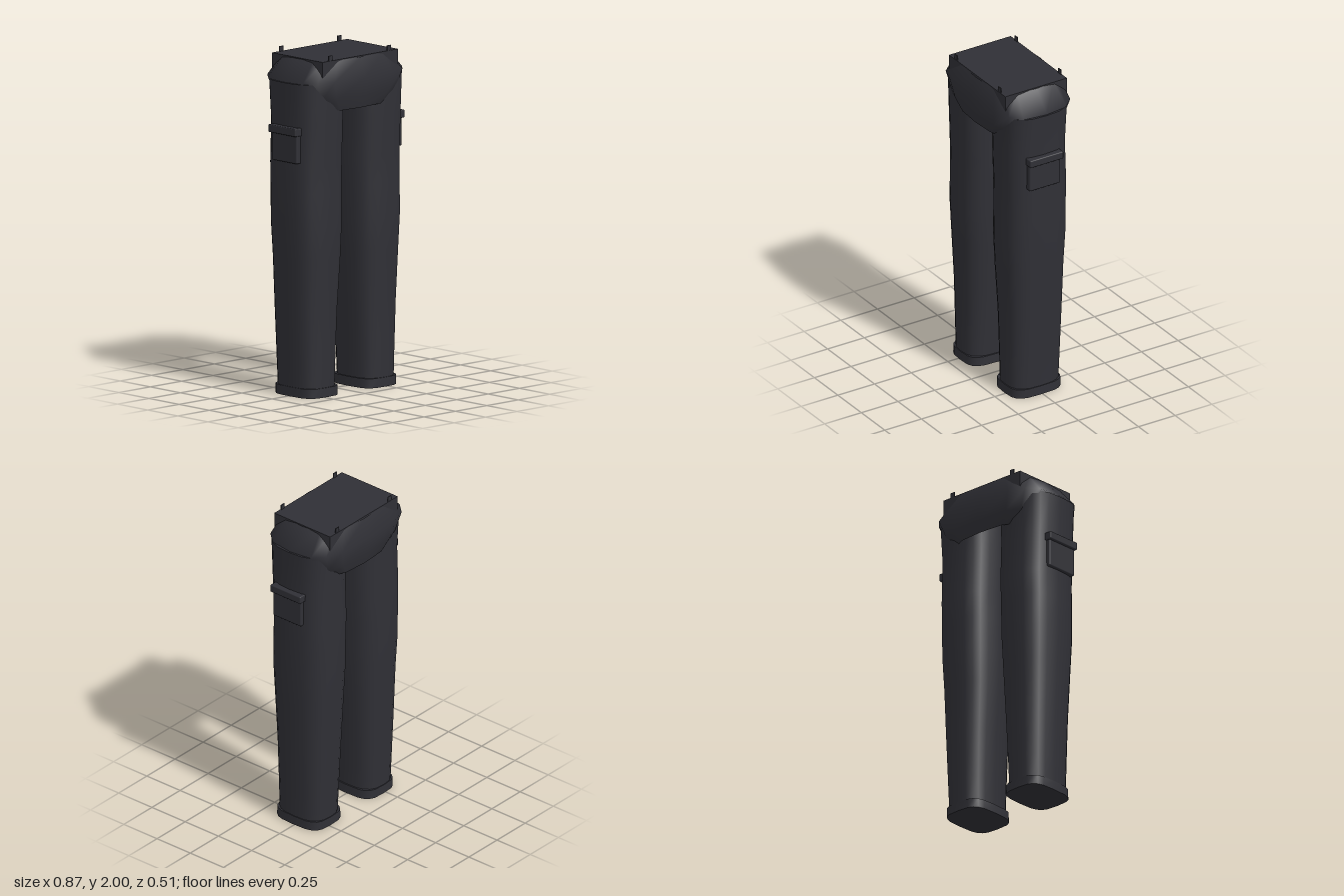
import * as THREE from 'three';
import { RoundedBoxGeometry } from 'three/addons/geometries/RoundedBoxGeometry.js';

// Skin over rounded-square rings listed bottom to top: [y, xMin, xMax, zMin, zMax]
function loft(rings, sides, power, capBottom, capTop) {
  const pos = [], index = [];
  const addRing = ([y, x0, x1, z0, z1]) => {
    for (let i = 0; i < sides; i++) {
      const a = (i / sides) * Math.PI * 2, c = Math.cos(a), s = Math.sin(a);
      const round = (v) => Math.sign(v) * Math.abs(v) ** (2 / power);
      pos.push((x0 + x1) / 2 + (x1 - x0) / 2 * round(c), y, (z0 + z1) / 2 + (z1 - z0) / 2 * round(s));
    }
  };
  rings.forEach(addRing);
  for (let r = 0; r < rings.length - 1; r++) {
    for (let i = 0; i < sides; i++) {
      const a = r * sides + i, b = r * sides + (i + 1) % sides;
      index.push(a, a + sides, b, b, a + sides, b + sides);
    }
  }
  const cap = (ring, up) => {
    const start = pos.length / 3, centre = start + sides;
    addRing(ring);
    pos.push((ring[1] + ring[2]) / 2, ring[0], (ring[3] + ring[4]) / 2);
    for (let i = 0; i < sides; i++) {
      const a = start + i, b = start + (i + 1) % sides;
      if (up) index.push(centre, b, a);
      else index.push(centre, a, b);
    }
  };
  if (capBottom) cap(rings[0], false);
  if (capTop) cap(rings[rings.length - 1], true);
  const g = new THREE.BufferGeometry();
  g.setAttribute('position', new THREE.Float32BufferAttribute(pos, 3));
  g.setIndex(index);
  g.computeVertexNormals();
  return g;
}

export function createModel() {
  const model = new THREE.Group();
  model.name = 'cargoTrousers';
  const cloth = new THREE.MeshStandardMaterial({ color: 0x303036, side: THREE.DoubleSide });
  cloth.name = 'charcoal cloth';

  const add = (name, geometry, parent = model, x = 0, y = 0, z = 0) => {
    const mesh = new THREE.Mesh(geometry, cloth);
    mesh.name = name;
    mesh.position.set(x, y, z);
    parent.add(mesh);
    return mesh;
  };

  // Waistband block and the hip shell bulging around it
  add('waistband', new THREE.BoxGeometry(0.6, 0.1, 0.42), model, 0, 1.92, 0);
  add('hips', loft([
    [1.67, -0.27, 0.27, -0.222, 0.222],
    [1.74, -0.36, 0.36, -0.24, 0.24],
    [1.85, -0.412, 0.412, -0.257, 0.257],
    [1.965, -0.305, 0.305, -0.218, 0.218],
  ], 16, 3.4, false, false));

  // Leg outline, written for the left side
  const legRings = [
    [0.03, 0.105, 0.365, -0.158, 0.172],
    [0.2, 0.1, 0.37, -0.165, 0.175],
    [0.5, 0.085, 0.382, -0.175, 0.18],
    [0.8, 0.068, 0.393, -0.185, 0.195],
    [1.0, 0.06, 0.403, -0.195, 0.203],
    [1.2, 0.058, 0.405, -0.197, 0.2],
    [1.35, 0.055, 0.405, -0.2, 0.2],
    [1.6, 0.055, 0.405, -0.192, 0.208],
    [1.84, 0.05, 0.417, -0.2, 0.21],
  ];
  const cuffRings = [
    [0, 0.095, 0.37, -0.162, 0.178],
    [0.055, 0.097, 0.369, -0.162, 0.177],
  ];
  const mirror = (rings, s) => rings.map(([y, a, b, c, d]) => (s > 0 ? [y, a, b, c, d] : [y, -b, -a, c, d]));

  for (const s of [1, -1]) {
    const leg = new THREE.Group();
    leg.name = s > 0 ? 'leftLeg' : 'rightLeg';
    model.add(leg);
    add('trouserLeg', loft(mirror(legRings, s), 20, 2.8, false, true), leg);
    add('cuff', loft(mirror(cuffRings, s), 20, 3.6, true, true), leg);

    // Cargo pocket with its flap on the outer thigh
    add('pocket', new RoundedBoxGeometry(0.06, 0.17, 0.21, 2, 0.008), leg, s * 0.39, 1.462, 0.015);
    add('pocketFlap', new RoundedBoxGeometry(0.06, 0.046, 0.226, 2, 0.006), leg, s * 0.407, 1.562, 0.013);

    // Thin belt loops, front and back
    for (const z of [0.205, -0.205]) {
      add('beltLoop', new THREE.BoxGeometry(0.03, 0.06, 0.006), model, s * 0.232, 1.97, z);
    }
  }
  return model;
}
